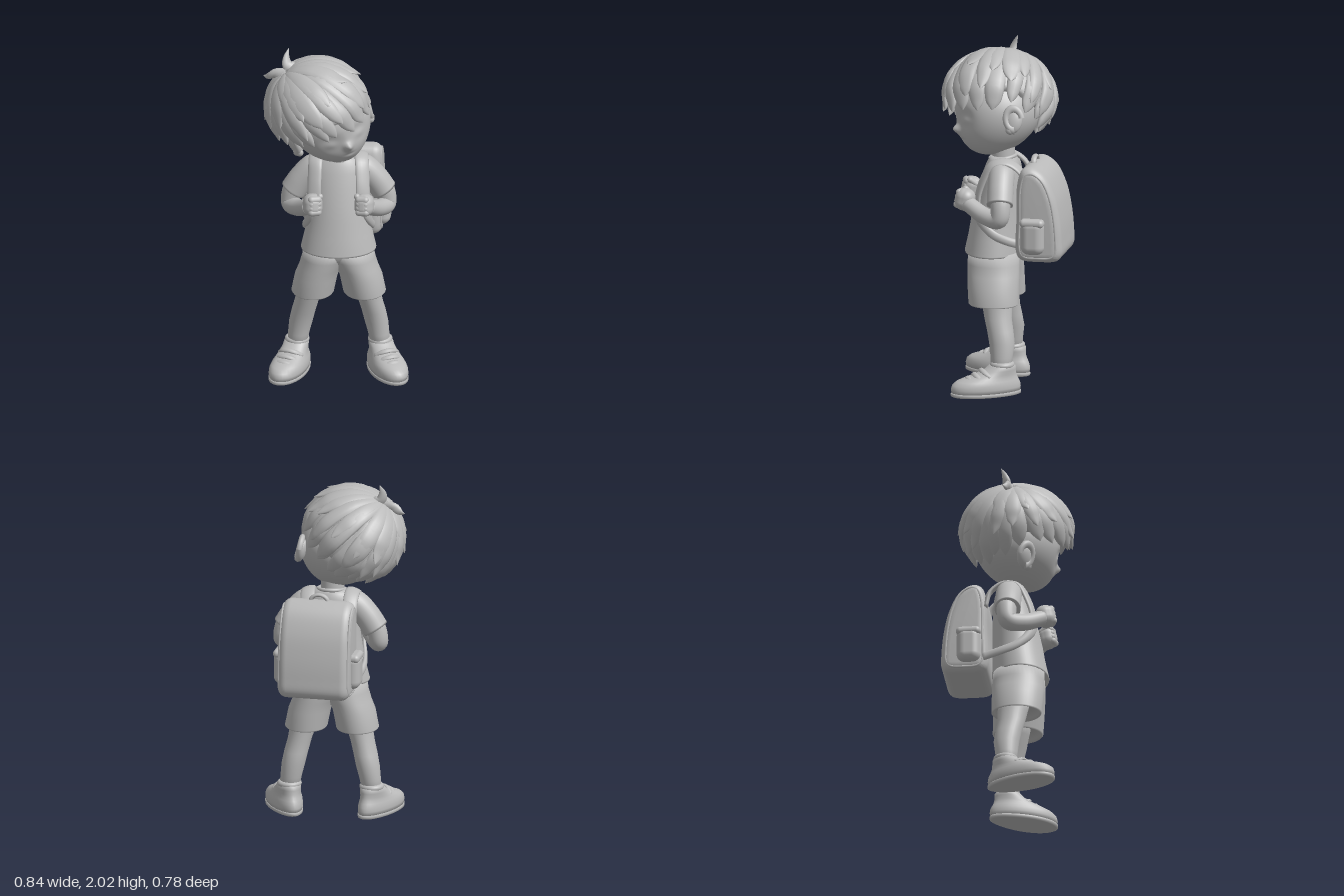
import * as THREE from 'three';
import { mergeVertices, toCreasedNormals } from 'three/addons/utils/BufferGeometryUtils.js';
import { RoundedBoxGeometry } from 'three/addons/geometries/RoundedBoxGeometry.js';

const V = (x, y, z) => new THREE.Vector3(x, y, z);
const clay = new THREE.MeshStandardMaterial({ color: 0xbababa });
clay.name = 'clay grey';

function add(parent, name, geometry, pos = [0, 0, 0], rot = [0, 0, 0], scale = [1, 1, 1]) {
  const mesh = new THREE.Mesh(geometry, clay);
  mesh.name = name;
  mesh.position.set(...pos);
  mesh.rotation.set(...rot);
  mesh.scale.set(...scale);
  parent.add(mesh);
  return mesh;
}

function group(parent, name, pos = [0, 0, 0]) {
  const g = new THREE.Group();
  g.name = name;
  g.position.set(...pos);
  parent.add(g);
  return g;
}

// closed skin over equal rings of points, with fans at both ends
function skin(rings) {
  const n = rings[0].length, m = rings.length, pts = rings.flat(), index = [];
  for (let i = 0; i < m - 1; i++) for (let j = 0; j < n; j++) {
    const a = i * n + j, b = i * n + (j + 1) % n;
    index.push(a, b, a + n, b, b + n, a + n);
  }
  [rings[0], rings[m - 1]].forEach((ring, k) => {
    const c = pts.length;
    pts.push(ring.reduce((s, p) => s.add(p), V(0, 0, 0)).divideScalar(n));
    for (let j = 0; j < n; j++) {
      const a = (k ? (m - 1) * n : 0) + j, b = (k ? (m - 1) * n : 0) + (j + 1) % n;
      index.push(...(k ? [a, b, c] : [b, a, c]));
    }
  });
  const g = new THREE.BufferGeometry().setFromPoints(pts);
  g.setIndex(index);
  g.computeVertexNormals();
  return g;
}

// upright loft, rows are [y, centre x, centre z, half width, half depth]
function loft(rows, sides = 40, widen = 0) {
  return skin(rows.map(([y, cx, cz, rx, rz]) => Array.from({ length: sides }, (_, j) => {
    const a = j / sides * Math.PI * 2;
    return V(cx + Math.sin(a) * rx * (1 + widen * Math.cos(a)), y, cz + Math.cos(a) * rz);
  })));
}

// oval section swept along points; width and thick depend on t, normalAt on the position
function sweep(points, width, thick, normalAt, steps = 24, sides = 14) {
  const curve = new THREE.CatmullRomCurve3(points), rings = [];
  for (let i = 0; i <= steps; i++) {
    const t = i / steps, p = curve.getPoint(t), dir = curve.getTangent(t);
    const n = normalAt(p).clone().addScaledVector(dir, -normalAt(p).dot(dir)).normalize();
    const s = n.clone().cross(dir);
    rings.push(Array.from({ length: sides }, (_, j) => {
      const a = j / sides * Math.PI * 2;
      return p.clone().addScaledVector(s, Math.cos(a) * width(t)).addScaledVector(n, Math.sin(a) * thick(t));
    }));
  }
  return skin(rings);
}

function buildHead(parent) {
  const head = group(parent, 'head', [-0.04, 1.6, 0.03]);
  head.rotation.set(0.03, 0.36, 0.33, 'ZYX');

  // skull with narrow jaw; sockets, closed lids, nose and mouth are soft bumps and dents
  const skull = new THREE.SphereGeometry(1, 128, 96), p = skull.attributes.position;
  const bump = (x, y, size) => Math.exp(-(x * x + y * y) / (size * size));
  for (let i = 0; i < p.count; i++) {
    const low = Math.max(0, -p.getY(i)), front = p.getZ(i) > 0 ? 1 : 0;
    const x = p.getX(i) * 0.24 * (1 - 0.16 * low * low), y = p.getY(i) * 0.25 + 0.01;
    let z = p.getZ(i) * 0.25 * (1 - 0.06 * low) + 0.02 + 0.055 * low * low;
    const ex = Math.abs(x) - 0.092;
    z += front * (0.014 * bump(ex, (y + 0.055) * 1.3, 0.036) - 0.022 * bump(ex, y + 0.045, 0.055)
      + 0.036 * bump(x, (y + 0.1) * 0.9, 0.024) + 0.006 * bump(x, y + 0.155, 0.035) - 0.007 * bump(x * 0.35, y + 0.158, 0.01));
    p.setXYZ(i, x, y, z);
  }
  skull.computeVertexNormals();
  add(head, 'face', skull);
  const ball = new THREE.SphereGeometry(1, 28, 20);
  for (const s of [1, -1]) {
    const ear = group(head, 'ear', [s * 0.236, -0.06, -0.02]);
    ear.rotation.set(-0.15, -s * 0.3, -s * 0.12);
    add(ear, 'earBody', ball, [0, 0, 0], [0, 0, 0], [0.03, 0.072, 0.05]);
    add(ear, 'earRim', new THREE.TorusGeometry(0.046, 0.018, 14, 32, 4.6), [s * 0.014, 0.008, 0], [0, Math.PI / 2, 0.3], [1, 1.35, 1]);
    add(ear, 'earLobe', ball, [s * 0.008, -0.055, 0.012], [0, 0, 0], [0.022, 0.028, 0.028]);
  }

  // hair dome, with the hairline lower at the brow and the nape
  const C = V(-0.04, 0.1, 0), R = V(0.285, 0.27, 0.32), whorl = V(-0.33, 0.9, -0.18).normalize();
  const hairline = a => -0.18 - 0.14 * Math.max(0, Math.cos(a)) - 0.62 * Math.max(0, -Math.cos(a) - 0.1) ** 0.7;
  const dirAt = (a, e) => V(Math.sin(a) * Math.cos(e), Math.sin(e), Math.cos(a) * Math.cos(e));
  const cap = new THREE.SphereGeometry(1, 64, 48), q = cap.attributes.position;
  for (let i = 0; i < q.count; i++) {
    const d = V(q.getX(i), q.getY(i), q.getZ(i));
    const e = Math.asin(THREE.MathUtils.clamp(d.y, -1, 1)), edge = hairline(Math.atan2(d.x, d.z));
    d.multiply(R).multiplyScalar(0.62 + 0.37 * THREE.MathUtils.smoothstep(e, edge + 0.03, edge + 0.32)).add(C);
    q.setXYZ(i, d.x, d.y, d.z);
  }
  cap.computeVertexNormals();
  const hair = group(head, 'hair');
  add(hair, 'hairCap', cap);

  // pointed locks combed from the whorl in three layers, tips lifting off the dome
  let seed = 7;
  const rand = () => (seed = (seed * 16807) % 2147483647) / 2147483647 - 0.5;
  const normal = pt => pt.clone().sub(C).divide(R).divide(R).normalize();
  const lock = (end, lift, w, h) => {
    const flare = 0.1 + rand() * 0.06;
    const pts = [0.06, 0.25, 0.45, 0.65, 0.83, 1].map((t, i) =>
      whorl.clone().lerp(end, t).normalize().multiply(R)
        .multiplyScalar(lift + 0.02 * Math.sin(t * 3) + [0, 0, 0, 0, 0.02, flare][i]).add(C));
    add(hair, 'hairLock', sweep(pts, t => w * (0.25 + 1.1 * t) * (1 - t ** 2.5) + 0.001,
      t => h * (0.35 + 0.75 * t) * (1 - t ** 3.2) + 0.001, normal, 24, 12));
  };
  [[21, -0.06, 0.955, 0.083, 0.04], [15, 0.3, 0.985, 0.085, 0.036], [11, 0.72, 0.995, 0.075, 0.03]].forEach(([n, up, lift, w, h], k) => {
    for (let i = 0; i < n; i++) {
      const a = (i + 0.5 * k + rand() * 0.5) / n * Math.PI * 2;
      lock(dirAt(a, hairline(a) + up + rand() * (0.16 + 0.14 * k)), lift, w * (1 + rand() * 0.35), h);
    }
  });
  // loose tufts at the whorl
  const tuft = (pts, w) => add(hair, 'tuft', sweep(pts.map(a => V(...a)), t => w * (1 - t * t) + 0.001,
    t => 0.6 * w * (1 - t * t) + 0.001, () => V(0.2, 0.1, 1), 14, 10));
  tuft([[-0.08, 0.35, -0.08], [-0.1, 0.38, -0.09], [-0.09, 0.42, -0.1], [-0.055, 0.465, -0.11]], 0.038);
  tuft([[-0.13, 0.34, -0.08], [-0.18, 0.355, -0.11], [-0.22, 0.345, -0.14], [-0.24, 0.35, -0.165]], 0.032);
}

function buildArm(body, s) {
  const side = s > 0 ? 'left' : 'right';
  const hint = () => V(s, 0.4, 0.6);
  const pt = (x, y, z) => V(s * x, y, z);
  const sleeve = t => 0.05 + 0.026 * Math.min(1, Math.sqrt(t * 3));
  add(body, side + 'Sleeve', sweep([pt(0.08, 1.305, 0), pt(0.145, 1.28, 0), pt(0.212, 1.21, -0.002), pt(0.264, 1.13, -0.005)],
    sleeve, sleeve, hint, 24, 28));
  const arm = t => 0.062 - 0.016 * t;
  add(body, side + 'Arm', sweep([pt(0.215, 1.22, 0), pt(0.268, 1.13, -0.01), pt(0.28, 1.05, 0), pt(0.238, 1.055, 0.08), pt(0.165, 1.115, 0.2)],
    arm, arm, hint, 36, 24));
  // closed fist, fingers only slightly raised
  const hand = group(body, side + 'Hand', [s * 0.15, 1.132, 0.213]);
  hand.rotation.set(-0.2, -s * 0.3, 0);
  add(hand, 'palm', new RoundedBoxGeometry(0.112, 0.132, 0.116, 8, 0.052));
  for (let i = 0; i < 4; i++)
    add(hand, 'finger', new THREE.CapsuleGeometry(0.021, 0.04, 6, 14), [-s * 0.002, 0.037 - i * 0.025, 0.036], [0, 0, Math.PI / 2]);
  add(hand, 'thumb', new THREE.CapsuleGeometry(0.018, 0.045, 6, 14), [-s * 0.037, 0.042, 0.005], [1.1, 0, 0]);
}

function buildLeg(body, s) {
  const side = s > 0 ? 'left' : 'right';
  add(body, side + 'ShortsLeg', loft([[0.55, s * 0.15, 0.045, 0.08, 0.1], [0.525, s * 0.15, 0.045, 0.108, 0.132],
    [0.51, s * 0.15, 0.045, 0.118, 0.14], [0.518, s * 0.15, 0.045, 0.124, 0.147], [0.62, s * 0.13, 0.05, 0.124, 0.15],
    [0.68, s * 0.108, 0.052, 0.122, 0.152], [0.74, s * 0.083, 0.054, 0.13, 0.152], [0.81, s * 0.06, 0.056, 0.142, 0.149]]));
  add(body, side + 'Leg', loft([[0.13, s * 0.243, -0.01, 0.057, 0.06], [0.22, s * 0.232, -0.012, 0.062, 0.065],
    [0.3, s * 0.218, -0.012, 0.069, 0.075], [0.37, s * 0.203, 0, 0.07, 0.077], [0.44, s * 0.185, 0.015, 0.07, 0.08],
    [0.51, s * 0.168, 0.022, 0.075, 0.087], [0.6, s * 0.15, 0.035, 0.082, 0.095]], 28));
  const foot = group(body, side + 'Foot', [s * 0.24, 0, -0.018]);
  foot.rotation.y = s * 0.4;
  add(foot, 'sock', new THREE.TorusGeometry(0.054, 0.018, 12, 32), [0, 0.177, 0.002], [Math.PI / 2, 0, 0]);
  add(foot, 'sole', loft([[0, 0, 0.1, 0.09, 0.2], [0.005, 0, 0.1, 0.098, 0.21], [0.018, 0, 0.1, 0.099, 0.211], [0.024, 0, 0.1, 0.094, 0.206]], 40, 0.12));
  add(foot, 'shoe', loft([[0.018, 0, 0.1, 0.094, 0.205], [0.045, 0, 0.1, 0.098, 0.209], [0.07, 0, 0.098, 0.096, 0.203], [0.09, 0, 0.09, 0.09, 0.185],
    [0.107, 0, 0.07, 0.082, 0.157], [0.125, 0, 0.042, 0.076, 0.123], [0.148, 0, 0.015, 0.072, 0.094],
    [0.17, 0, 0.002, 0.07, 0.08], [0.177, 0, 0.002, 0.058, 0.066]], 40, 0.12));
  // broad laces across the tongue
  [[0.11, 0.206], [0.13, 0.167], [0.152, 0.124]].forEach(([y, z]) =>
    add(foot, 'lace', sweep([V(-0.07, y - 0.034, z - 0.035), V(-0.038, y - 0.01, z - 0.005), V(0, y - 0.002, z + 0.003),
      V(0.038, y - 0.01, z - 0.005), V(0.07, y - 0.034, z - 0.035)], () => 0.016, () => 0.01, () => V(0, 1, 0.4), 14, 10)));
}

function buildBackpack(body) {
  const pack = group(body, 'backpack', [0.027, 0, 0]);
  pack.rotation.y = -0.09;
  // curved side profile, extruded across the back
  const outline = new THREE.CatmullRomCurve3([[0.11, 0.83], [0.11, 1.05], [0.115, 1.25], [0.145, 1.335], [0.2, 1.35], [0.275, 1.305],
    [0.335, 1.19], [0.367, 1.05], [0.38, 0.92], [0.379, 0.835], [0.35, 0.798], [0.24, 0.787], [0.14, 0.795]].map(([u, y]) => V(u, y, 0)), true);
  const shape = new THREE.Shape(outline.getPoints(70).slice(0, 70).map(a => new THREE.Vector2(a.x, a.y)));
  let bag = new THREE.ExtrudeGeometry(shape, { depth: 0.315, bevelSize: 0.055, bevelThickness: 0.055, bevelOffset: -0.055, bevelSegments: 8 });
  bag.translate(0, 0, -0.1575).rotateY(Math.PI / 2);
  bag.deleteAttribute('normal');
  bag.deleteAttribute('uv');
  bag = toCreasedNormals(mergeVertices(bag), 0.8);
  add(pack, 'bag', bag);
  for (const s of [1, -1]) {
    // piping just inside the rim of each side panel
    const seam = new THREE.CatmullRomCurve3(outline.getPoints(40).slice(0, 40)
      .map(a => V(s * 0.203, 1.06 + (a.y - 1.06) * 0.89, -0.24 - (a.x - 0.24) * 0.78)), true);
    add(pack, 'piping', new THREE.TubeGeometry(seam, 100, 0.008, 8, true));
    add(pack, 'sidePocket', new RoundedBoxGeometry(0.1, 0.21, 0.14, 8, 0.049), [s * 0.208, 0.945, -0.215]);
    add(pack, 'pocketFlap', new RoundedBoxGeometry(0.102, 0.05, 0.143, 5, 0.024), [s * 0.206, 1.03, -0.215]);
  }
  add(pack, 'handle', new THREE.TorusGeometry(0.05, 0.013, 10, 24, Math.PI), [0, 1.34, -0.185], [0, 0, 0], [1, 0.8, 1.3]);

  // flat straps over the shoulders and back under the arms
  for (const s of [1, -1]) {
    const pts = [[0.125, 1.2, -0.14], [0.125, 1.3, -0.11], [0.13, 1.355, -0.03], [0.135, 1.34, 0.055], [0.14, 1.25, 0.108], [0.145, 1.13, 0.14],
      [0.17, 1.02, 0.125], [0.193, 0.94, 0.05], [0.195, 0.9, -0.04], [0.17, 0.87, -0.15]].map(([x, y, z]) => V(s * x, y, z));
    add(body, 'shoulderStrap', sweep(pts, t => 0.043 - 0.018 * THREE.MathUtils.smoothstep(t, 0.5, 0.75), () => 0.015,
      a => V(a.x - s * 0.1 * THREE.MathUtils.smoothstep(a.y, 1, 1.15), a.y - Math.min(a.y, 1.22), a.z - 0.02), 60, 14));
  }
}

export function createModel() {
  const model = new THREE.Group();
  model.name = 'boyWithBackpack';
  const body = group(model, 'body', [0.018, 0, 0]);

  // shirt, collar, neck and shorts
  add(body, 'shirt', loft([[0.83, 0, 0.06, 0.17, 0.12], [0.805, 0, 0.065, 0.21, 0.157], [0.795, 0, 0.065, 0.216, 0.163],
    [0.805, 0, 0.065, 0.219, 0.166], [0.9, 0, 0.055, 0.197, 0.155], [1, 0, 0.047, 0.18, 0.146], [1.1, 0, 0.036, 0.168, 0.135],
    [1.2, 0, 0.024, 0.162, 0.121], [1.28, 0, 0.014, 0.155, 0.107], [1.32, 0, 0.01, 0.14, 0.096], [1.35, 0, 0.008, 0.112, 0.084],
    [1.368, 0, 0.008, 0.082, 0.073]], 48));
  add(body, 'collar', new THREE.TorusGeometry(0.075, 0.011, 12, 40), [0, 1.36, 0.01], [Math.PI / 2 + 0.15, 0, 0]);
  add(body, 'neck', new THREE.CylinderGeometry(0.066, 0.07, 0.2, 32), [-0.01, 1.4, 0.01]);
  add(body, 'shortsTop', loft([[0.655, 0, 0.05, 0.04, 0.05], [0.68, 0, 0.052, 0.09, 0.075], [0.71, 0, 0.054, 0.13, 0.098],
    [0.75, 0, 0.055, 0.17, 0.128], [0.79, 0, 0.056, 0.195, 0.146], [0.84, 0, 0.058, 0.185, 0.14]], 48));
  for (const s of [1, -1]) {
    buildArm(body, s);
    buildLeg(body, s);
  }
  buildBackpack(body);
  buildHead(model);
  return model;
}
